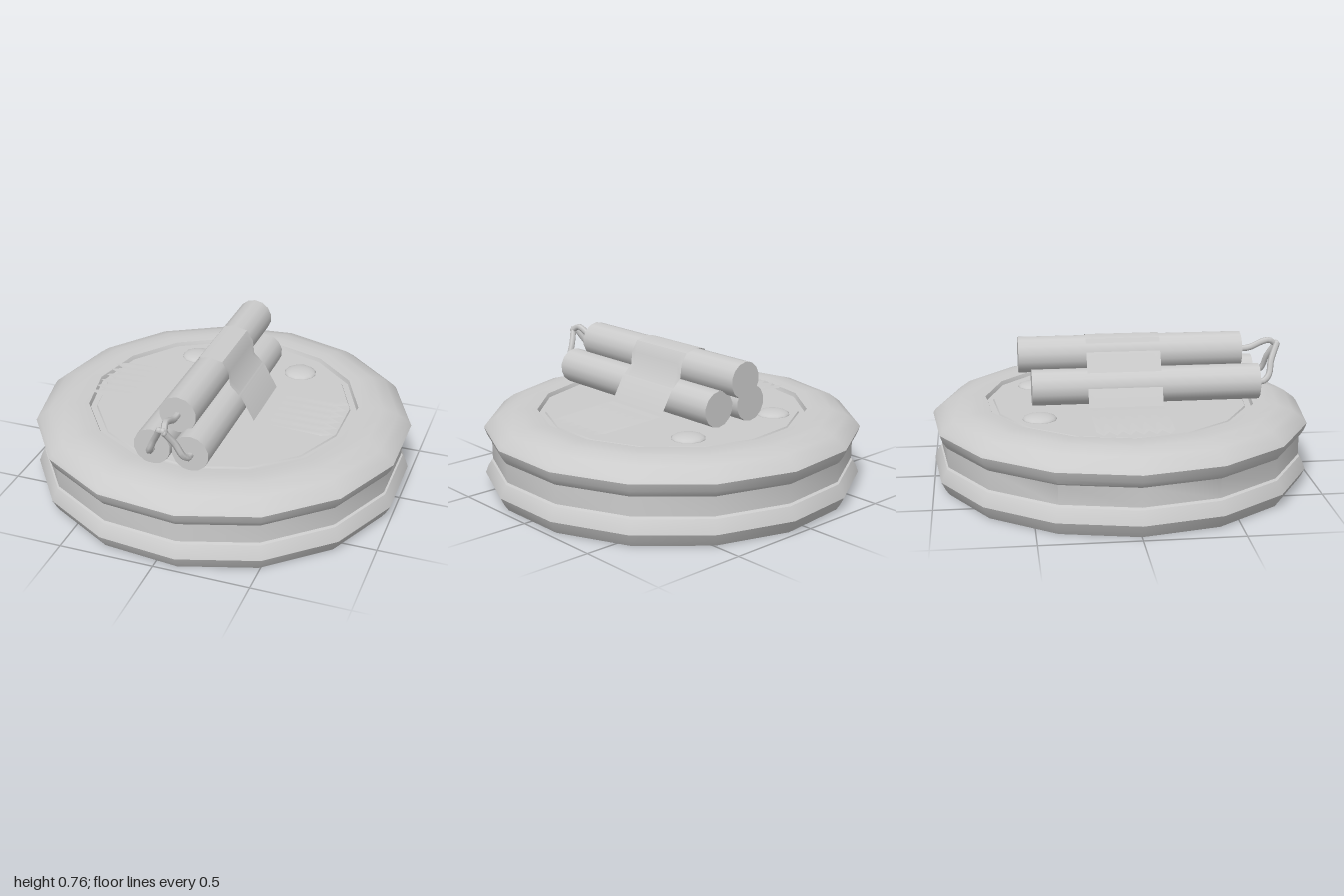
import * as THREE from 'three';
import { toCreasedNormals } from 'three/addons/utils/BufferGeometryUtils.js';

const grey = new THREE.MeshStandardMaterial({ color: 0xcccccc });
const greyThin = new THREE.MeshStandardMaterial({ color: 0xcccccc, side: THREE.DoubleSide });

function add(parent, name, geometry, x = 0, y = 0, z = 0, material = grey) {
  const mesh = new THREE.Mesh(geometry, material);
  mesh.name = name;
  mesh.position.set(x, y, z);
  parent.add(mesh);
  return mesh;
}

// Tape draped along a path, with both ends cut in a zigzag
function tapeGeometry() {
  const path = [
    [-0.69, 0.424], [-0.61, 0.426], [-0.32, 0.43], [-0.24, 0.427], [-0.2, 0.51], [-0.08, 0.7],
    [-0.05, 0.75], [0, 0.762], [0.075, 0.745], [0.11, 0.69], [0.118, 0.62],
    [0.18, 0.56], [0.25, 0.437], [0.32, 0.434], [0.6, 0.426], [0.67, 0.424],
  ];
  const columns = 12, last = path.length - 1;
  const positions = [], index = [];
  path.forEach(([x, y], i) => {
    const shift = 0.01 + 0.02 * Math.max(0, x);
    for (let j = 0; j <= columns; j++) {
      // every other point of an end row falls back to form the teeth
      const notch = j % 2 === 0 ? 0.062 : 0;
      const px = i === 0 ? x + notch : i === last ? x - notch : x;
      positions.push(px, y, shift - 0.195 + 0.39 * j / columns);
      if (i < last && j < columns) {
        const a = i * (columns + 1) + j, b = a + columns + 1;
        index.push(a, a + 1, b, b, a + 1, b + 1);
      }
    }
  });
  const geometry = new THREE.BufferGeometry();
  geometry.setAttribute('position', new THREE.Float32BufferAttribute(positions, 3));
  geometry.setIndex(index);
  return toCreasedNormals(geometry, 0.7);
}

export function createModel() {
  const model = new THREE.Group();
  model.name = 'stickyCharge';

  // Fifteen-sided body: two rounded rims, a groove between, a recessed top
  const profile = [
    [0, 0], [0.965, 0], [0.985, 0.03], [1.005, 0.07], [0.99, 0.11], [0.972, 0.138],
    [0.95, 0.145], [0.965, 0.15], [0.965, 0.25], [0.972, 0.258],
    [0.99, 0.285], [1.005, 0.325], [0.99, 0.345], [0.93, 0.39], [0.85, 0.415],
    [0.78, 0.418], [0.72, 0.413], [0.712, 0.392], [0.68, 0.392], [0.675, 0.4], [0, 0.4],
  ].map(([r, y]) => new THREE.Vector2(r, y));
  add(model, 'body', toCreasedNormals(
    new THREE.LatheGeometry(profile, 15, -Math.PI / 2), 0.65), 0.01);

  // Shallow domed studs at the back
  for (const side of [-1, 1]) {
    const dome = new THREE.SphereGeometry(0.09, 12, 6, 0, Math.PI * 2, 0, Math.PI / 2);
    add(model, side > 0 ? 'leftStud' : 'rightStud', dome, side * 0.305, 0.398, -0.445)
      .scale.y = 0.3;
  }

  // Three stacked sticks: x, y, back z, front z
  const sticks = new THREE.Group();
  sticks.name = 'sticks';
  model.add(sticks);
  const stickData = {
    rightStick: [-0.102, 0.508, -0.475, 0.73],
    leftStick: [0.098, 0.508, -0.45, 0.73],
    topStick: [0.003, 0.661, -0.54, 0.645],
  };
  for (const [name, [x, y, back, front]] of Object.entries(stickData)) {
    const stick = new THREE.CylinderGeometry(0.096, 0.096, front - back, 14);
    stick.rotateX(Math.PI / 2);
    add(sticks, name, stick, x, y, (back + front) / 2);
  }

  // Fuses that bend together in front of the sticks
  const fuses = new THREE.Group();
  fuses.name = 'fuses';
  model.add(fuses);
  const addFuse = (name, points) => {
    const curve = new THREE.CatmullRomCurve3(points.map((p) => new THREE.Vector3(...p)));
    add(fuses, name, new THREE.TubeGeometry(curve, 12, 0.017, 6), 0, 0, 0, greyThin);
    const tip = new THREE.SphereGeometry(0.017, 6, 4);
    add(fuses, name + 'Tip', tip, ...points[points.length - 1]);
  };
  addFuse('topFuse', [
    [0.003, 0.66, 0.63], [0.003, 0.665, 0.7], [0.003, 0.695, 0.77],
    [0.005, 0.703, 0.81], [0.015, 0.675, 0.85]]);
  for (const side of [-1, 1]) {
    addFuse(side > 0 ? 'leftFuse' : 'rightFuse', [
      [side * 0.1, 0.5, 0.72], [side * 0.1, 0.505, 0.765], [side * 0.085, 0.535, 0.795],
      [side * 0.055, 0.6, 0.81], [side * 0.03, 0.645, 0.83], [side * 0.01, 0.685, 0.85]]);
  }

  // Tape strapping the sticks to the body
  add(model, 'tape', tapeGeometry(), 0, 0, 0, greyThin);

  return model;
}
